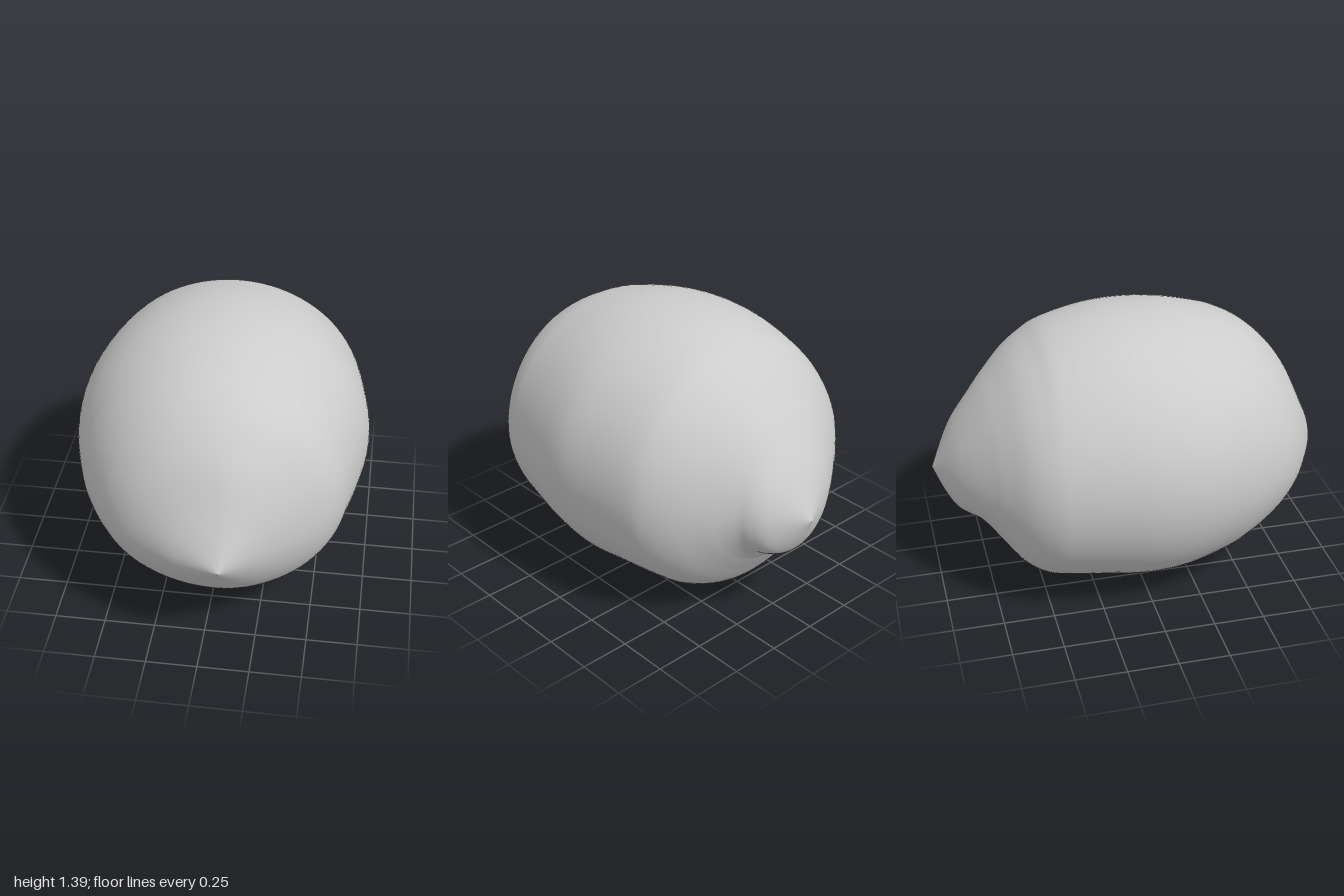
import * as THREE from 'three';

// Body stations along the long axis: z, left edge x, right edge x, bottom y, top y
const STATIONS = [
  [1, 0.1, 0.1, 0.6, 0.6],
  [0.95, -0.05, 0.165, 0.53, 0.7],
  [0.9, -0.18, 0.23, 0.465, 0.805],
  [0.8, -0.36, 0.36, 0.34, 1.01],
  [0.7, -0.475, 0.48, 0.24, 1.14],
  [0.6, -0.55, 0.58, 0.165, 1.23],
  [0.5, -0.61, 0.635, 0.11, 1.29],
  [0.4, -0.655, 0.66, 0.065, 1.33],
  [0.2, -0.715, 0.703, 0.015, 1.376],
  [0, -0.735, 0.73, 0.002, 1.39],
  [-0.2, -0.715, 0.708, 0.023, 1.376],
  [-0.4, -0.675, 0.67, 0.042, 1.325],
  [-0.5, -0.642, 0.63, 0.06, 1.27],
  [-0.6, -0.575, 0.55, 0.125, 1.2],
  [-0.7, -0.465, 0.435, 0.255, 1.1],
  [-0.75, -0.4, 0.373, 0.325, 1.045],
  [-0.8, -0.335, 0.322, 0.375, 0.98],
  [-0.85, -0.265, 0.29, 0.39, 0.91],
  [-0.9, -0.185, 0.245, 0.42, 0.83],
  [-0.95, -0.08, 0.15, 0.5, 0.73],
  [-1, 0.035, 0.035, 0.62, 0.62],
];

function bodyGeometry(rings, sides) {
  // Uniform splines share the same z at the same parameter
  const spline = (a, b) => new THREE.CatmullRomCurve3(
    STATIONS.map((s) => new THREE.Vector3(s[0], s[a], s[b])), false, 'catmullrom', 0.5);
  const width = spline(1, 2);
  const height = spline(3, 4);
  const positions = [];
  const indices = [];

  for (let i = 0; i <= rings; i++) {
    const w = width.getPoint(i / rings);
    const h = height.getPoint(i / rings);
    const z = w.x;
    // The core bends from the middle towards each off-centre tip
    const cx = (z > 0 ? 0.1 : 0.035) * z * z;
    const cy = 0.695 - (z > 0 ? 0.095 : 0.075) * z * z;
    for (let j = 0; j < sides; j++) {
      const c = Math.cos((j / sides) * Math.PI * 2);
      const s = Math.sin((j / sides) * Math.PI * 2);
      positions.push(
        cx + c * (c > 0 ? w.z - cx : cx - w.y),
        cy + s * (s > 0 ? h.z - cy : cy - h.y),
        z);
      if (i === rings) continue;
      const a = i * sides + j;
      const b = i * sides + ((j + 1) % sides);
      if (i < rings - 1) indices.push(a, a + sides, b + sides);
      if (i > 0) indices.push(a, b + sides, b);
    }
  }

  const geometry = new THREE.BufferGeometry();
  geometry.setAttribute('position', new THREE.Float32BufferAttribute(positions, 3));
  geometry.setIndex(indices);
  geometry.computeVertexNormals();
  return geometry;
}

export function createModel() {
  const group = new THREE.Group();
  group.name = 'fruit';
  const skin = new THREE.MeshStandardMaterial({ color: 0xcccccc });
  skin.name = 'light grey skin';
  const body = new THREE.Mesh(bodyGeometry(120, 96), skin);
  body.name = 'fruitBody';
  group.add(body);
  return group;
}
